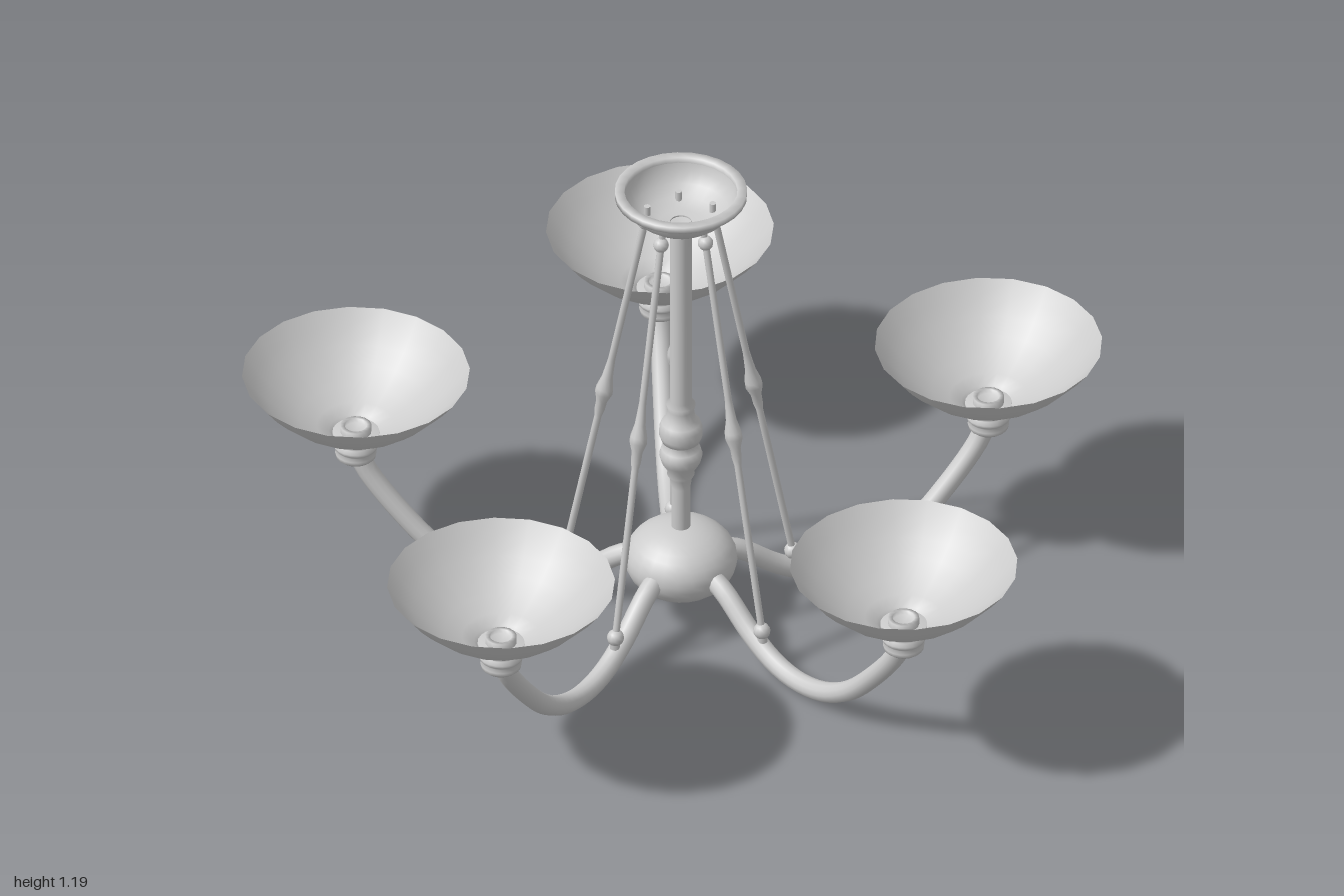
import * as THREE from 'three';

const material = new THREE.MeshStandardMaterial({ color: 0xcccccc, side: THREE.DoubleSide });

function addMesh(parent, name, geometry, y = 0) {
  const mesh = new THREE.Mesh(geometry, material);
  mesh.name = name;
  mesh.position.y = y;
  parent.add(mesh);
  return mesh;
}

// Turned part from [radius, height] pairs
function turned(points, sides = 20) {
  return new THREE.LatheGeometry(points.map(([r, y]) => new THREE.Vector2(r, y)), sides);
}

const RADIUS = 0.77;
const HUB_Z = -0.07;

// One arm with its lamp and stay, built along +z
function buildBranch() {
  const branch = new THREE.Group();
  branch.name = 'branch';

  // Curved tubular arm
  const path = new THREE.CatmullRomCurve3([
    [0.09, 0.165], [0.15, 0.14], [0.24, 0.075], [0.32, 0.036], [0.40, 0.024],
    [0.49, 0.04], [0.58, 0.09], [0.67, 0.18], [0.74, 0.27], [0.765, 0.32],
  ].map(([z, y]) => new THREE.Vector3(0, y, z)));
  addMesh(branch, 'arm', new THREE.TubeGeometry(path, 32, 0.024, 12));

  // Lamp holder, bowl shade and socket
  const lamp = new THREE.Group();
  lamp.name = 'lamp';
  lamp.position.z = RADIUS;
  branch.add(lamp);
  addMesh(lamp, 'holder', turned([
    [0, 0.305], [0.038, 0.305], [0.046, 0.312], [0.048, 0.322], [0.044, 0.33], [0.05, 0.337],
    [0.052, 0.345], [0.046, 0.353], [0.044, 0.36], [0.054, 0.368], [0.054, 0.378], [0, 0.378],
  ]));
  addMesh(lamp, 'shade', turned([
    [0.05, 0.366], [0.062, 0.382], [0.09, 0.396], [0.13, 0.416],
    [0.17, 0.445], [0.205, 0.476], [0.235, 0.508], [0.262, 0.543],
  ]));
  addMesh(lamp, 'socket', turned([
    [0.036, 0.375], [0.036, 0.395], [0.026, 0.395], [0.026, 0.384], [0, 0.384],
  ], 16));

  // Slanted stay rod with a spindle swelling, from canopy to arm
  const top = new THREE.Vector3(0, 1.085, 0.085);
  const bottom = new THREE.Vector3(0, 0.1, 0.28);
  const length = top.distanceTo(bottom);
  const stay = addMesh(branch, 'stay', turned([
    [0.0085, 0], [0.0085, 0.43], [0.012, 0.45], [0.013, 0.475], [0.021, 0.50],
    [0.02, 0.515], [0.013, 0.545], [0.01, 0.58], [0.0085, 0.60], [0.0085, length],
  ], 10));
  stay.position.copy(bottom);
  stay.quaternion.setFromUnitVectors(
    new THREE.Vector3(0, 1, 0), top.clone().sub(bottom).normalize());
  addMesh(branch, 'topBead', new THREE.SphereGeometry(0.018, 12, 8)).position.copy(top);
  addMesh(branch, 'bottomBead', new THREE.SphereGeometry(0.02, 12, 8)).position.copy(bottom);
  addMesh(branch, 'lowerPin', new THREE.CylinderGeometry(0.012, 0.012, 0.05, 10))
    .position.set(0, 0.075, 0.282);
  addMesh(branch, 'upperPin', new THREE.CylinderGeometry(0.008, 0.008, 0.045, 8))
    .position.set(0, 1.107, 0.08);
  return branch;
}

export function createModel() {
  const model = new THREE.Group();
  model.name = 'chandelier';
  const body = new THREE.Group();
  body.name = 'body';
  body.position.z = HUB_Z;
  model.add(body);

  // Open ceiling canopy with a flat rim
  addMesh(body, 'canopy', turned([
    [0, 1.095], [0.05, 1.098], [0.085, 1.11], [0.11, 1.13], [0.125, 1.155], [0.13, 1.174],
  ], 28));
  addMesh(body, 'canopyRim', turned([
    [0.13, 1.172], [0.152, 1.172], [0.152, 1.188], [0.13, 1.188], [0.13, 1.172],
  ], 28));

  // Central column with double baluster
  addMesh(body, 'column', turned([
    [0.022, 0.2], [0.022, 0.36], [0.026, 0.385], [0.032, 0.395], [0.03, 0.405],
    [0.045, 0.43], [0.05, 0.45], [0.045, 0.468], [0.032, 0.48], [0.045, 0.49],
    [0.05, 0.505], [0.05, 0.525], [0.045, 0.54], [0.034, 0.55], [0.03, 0.575],
    [0.034, 0.59], [0.025, 0.6], [0.025, 1.1],
  ]));

  // Flattened hub
  addMesh(body, 'hub', new THREE.SphereGeometry(0.13, 24, 16), 0.16).scale.y = 0.7;

  // Five branches around the hub
  for (const degrees of [0, 72, 142, 214, 286]) {
    const branch = buildBranch();
    branch.rotation.y = THREE.MathUtils.degToRad(degrees);
    body.add(branch);
  }
  return model;
}
